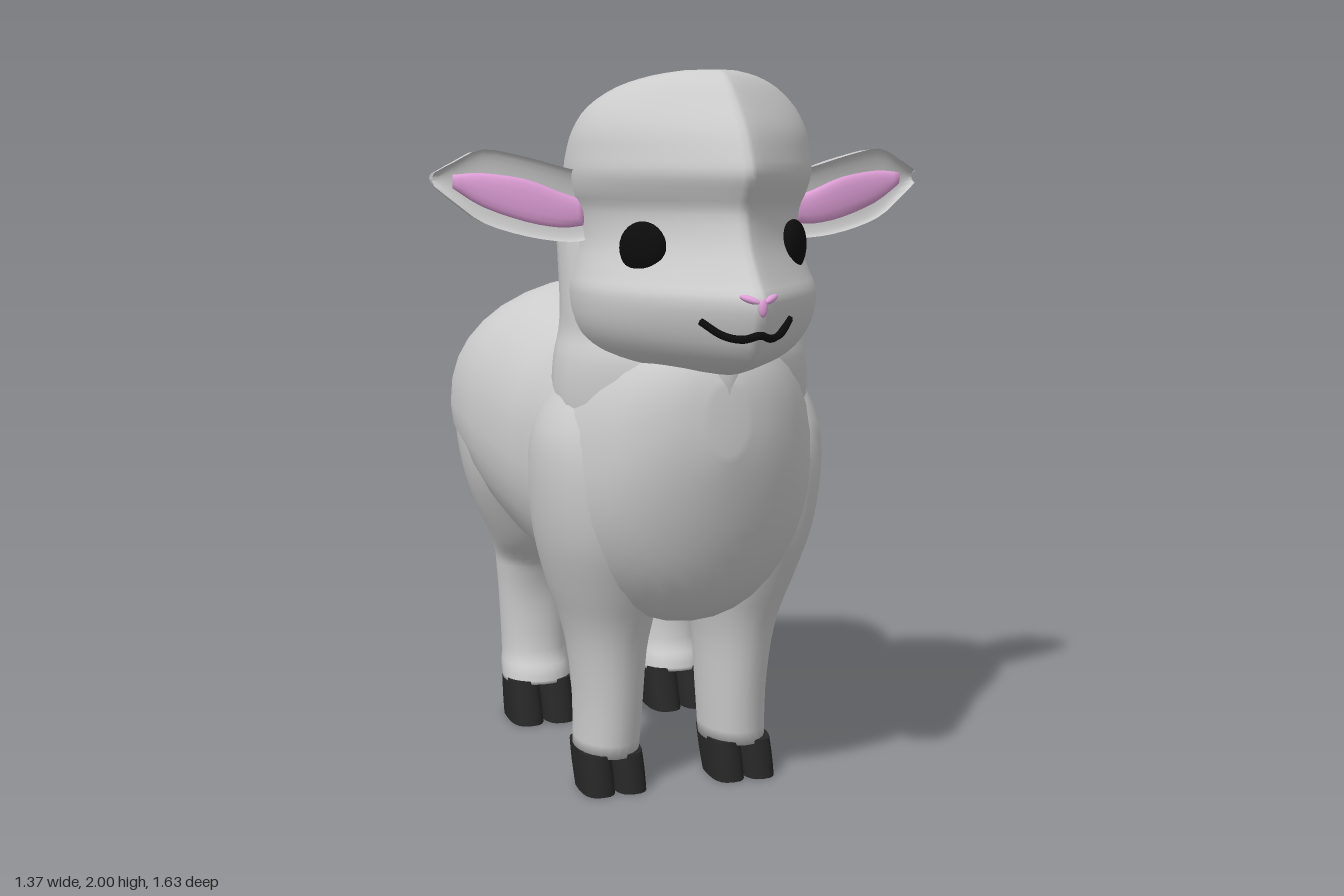
import * as THREE from 'three';
import { toCreasedNormals } from 'three/addons/utils/BufferGeometryUtils.js';

const WOOL = 0xcccccc, HOOF = 0x262626, PINK = 0xe0a0d8, DARK = 0x0c0c0c;
const paint = (color) => new THREE.MeshStandardMaterial({ color, roughness: 0.9 });

// Smooth interpolation of a table of cross-section rows
function resample(rows, steps) {
  const out = [];
  const row = (i) => rows[Math.min(Math.max(i, 0), rows.length - 1)];
  for (let i = 0; i < rows.length - 1; i++) {
    for (let k = 0; k < steps; k++) {
      const t = k / steps;
      out.push(row(i).map((b, c) => {
        const a = row(i - 1)[c], d = row(i + 1)[c], e = row(i + 2)[c];
        return b + 0.5 * t * (d - a + t * (2 * a - 5 * b + 4 * d - e + t * (3 * (b - d) + e - a)));
      }));
    }
  }
  out.push(rows[rows.length - 1]);
  return out;
}

// Ring shapes: row [t, a0, a1, b0, b1] and angle -> [a, b]
const pow = (v, n) => Math.sign(v) * Math.abs(v) ** (2 / n);
const oval = (top, low = top) => ([, a0, a1, b0, b1], t) => {
  const n = Math.sin(t) >= 0 ? top : low;
  return [(a0 + a1) / 2 + (a1 - a0) / 2 * pow(Math.sin(t), n),
    (b0 + b1) / 2 + (b1 - b0) / 2 * pow(Math.cos(t), n)];
};

// Round at the back, tapering to a softly rounded point at the front
function teardrop([, a0, a1, b0, b1], t) {
  const mid = a0 + 0.37 * (a1 - a0), s = Math.sin(t);
  const front = s >= 0, soft = 0.2;
  const d = Math.abs(t - Math.PI / 2) / (Math.PI / 2);
  const reach = 1 - (Math.hypot(d, soft) - soft) / (Math.hypot(1, soft) - soft);
  return [mid + (front ? (a1 - mid) * reach : (mid - a0) * pow(s, 2.4)),
    (b0 + b1) / 2 + (b1 - b0) / 2 * pow(Math.cos(t), front ? 1.38 : 2.4)];
}

// Hollowed front, bulging back
function dish([, a0, a1, b0, b1], t) {
  const s = Math.sin(t);
  return [(a0 + a1) / 2 + (a1 - a0) / 2 * Math.cos(t),
    s < 0 ? b1 - (b1 - b0) * Math.abs(s) ** 0.8 : b1 - 0.022 * s];
}

// Closed skin over rows along an axis; side = -1 mirrors it
function loft(name, axis, rows, { ring = oval(2.3), color = WOOL, side = 1, segs = 28, steps = 3, crease = 0 } = {}) {
  const sections = resample(rows, steps), pos = [], idx = [], n = sections.length;
  const put = (t, a, b) => {
    const p = axis === 'y' ? [b, t, a] : axis === 'z' ? [b, a, t] : [t, a, b];
    pos.push(p[0] * side, p[1], p[2]);
  };
  for (const r of sections) {
    for (let j = 0; j < segs; j++) put(r[0], ...ring(r, j / segs * Math.PI * 2));
  }
  for (const r of [sections[0], sections[n - 1]]) put(r[0], (r[1] + r[2]) / 2, (r[3] + r[4]) / 2);
  for (let j = 0; j < segs; j++) {
    const k = (j + 1) % segs;
    for (let i = 0; i < n - 1; i++) {
      const p = i * segs, q = p + segs;
      idx.push(p + j, q + j, q + k, p + j, q + k, p + k);
    }
    const e = (n - 1) * segs;
    idx.push(n * segs, j, k, n * segs + 1, e + k, e + j);
  }
  // Turn faces outwards by the sign of the enclosed volume
  const v = (i) => new THREE.Vector3().fromArray(pos, i * 3);
  let volume = 0;
  for (let i = 0; i < idx.length; i += 3) volume += v(idx[i]).dot(v(idx[i + 1]).cross(v(idx[i + 2])));
  if (volume < 0) idx.reverse();
  let geo = new THREE.BufferGeometry();
  geo.setAttribute('position', new THREE.Float32BufferAttribute(pos, 3));
  geo.setIndex(idx);
  geo.computeVertexNormals();
  if (crease) geo = toCreasedNormals(geo, crease);
  const mesh = new THREE.Mesh(geo, paint(color));
  mesh.name = name;
  return mesh;
}

const even = (rows) => rows.map(([t, a0, a1, w]) => [t, a0, a1, -w, w]);

export function createModel() {
  const lamb = new THREE.Group();
  lamb.name = 'lamb';

  // Trunk with a wedge-shaped chest, rows [z, bottom, top, half width]
  lamb.add(loft('body', 'z', even([
    [0.58, 1.02, 1.2, 0.05], [0.555, 0.92, 1.27, 0.13], [0.5, 0.76, 1.32, 0.215], [0.42, 0.61, 1.34, 0.285],
    [0.3, 0.51, 1.36, 0.35], [0.15, 0.49, 1.37, 0.405], [0, 0.5, 1.36, 0.425], [-0.15, 0.515, 1.385, 0.45],
    [-0.3, 0.54, 1.415, 0.475], [-0.42, 0.6, 1.42, 0.495], [-0.55, 0.66, 1.385, 0.495], [-0.64, 0.7, 1.31, 0.46],
    [-0.7, 0.76, 1.22, 0.4], [-0.74, 0.83, 1.12, 0.28], [-0.75, 0.9, 1.04, 0.12]]),
  { ring: oval(2.3, 2), segs: 36 }));

  // Broad woolly tail, rows [y, back, front, half width]
  lamb.add(loft('tail', 'y', even([
    [0.785, -0.74, -0.68, 0.1], [0.81, -0.765, -0.64, 0.19], [0.88, -0.8, -0.6, 0.26], [1, -0.81, -0.55, 0.3],
    [1.1, -0.79, -0.5, 0.3], [1.2, -0.735, -0.45, 0.28], [1.3, -0.665, -0.4, 0.23], [1.37, -0.57, -0.4, 0.12]])));

  lamb.add(loft('neck', 'y', even([
    [0.95, 0, 0.53, 0.33], [1.12, -0.02, 0.57, 0.36], [1.24, -0.03, 0.585, 0.355], [1.31, -0.03, 0.56, 0.338],
    [1.38, -0.012, 0.54, 0.335], [1.5, -0.02, 0.5, 0.335], [1.62, -0.027, 0.46, 0.335], [1.72, -0.01, 0.43, 0.325],
    [1.78, 0.05, 0.35, 0.2]]), { ring: teardrop }));

  // Head with muzzle, brow and woolly crown
  lamb.add(loft('head', 'y', even([
    [1.225, 0.1, 0.52, 0.16], [1.24, 0.03, 0.63, 0.23], [1.285, 0, 0.735, 0.285], [1.35, 0, 0.785, 0.32],
    [1.43, -0.01, 0.812, 0.33], [1.48, -0.02, 0.772, 0.32], [1.56, -0.03, 0.712, 0.302], [1.64, -0.03, 0.685, 0.308],
    [1.69, -0.028, 0.705, 0.326], [1.74, -0.02, 0.728, 0.333], [1.79, -0.005, 0.71, 0.328], [1.85, 0.035, 0.675, 0.315],
    [1.91, 0.09, 0.62, 0.28], [1.96, 0.18, 0.57, 0.215], [1.988, 0.29, 0.53, 0.14], [2, 0.38, 0.5, 0.07]]),
  { ring: teardrop, segs: 48 }));

  // Nose: two slanting nostrils and a small centre line
  const nose = new THREE.Group();
  nose.name = 'nose';
  lamb.add(nose);
  const blob = (name, color, r, p, parent) => {
    const m = new THREE.Mesh(new THREE.SphereGeometry(1, 20, 14), paint(color));
    m.name = name;
    m.scale.set(...r);
    m.position.set(...p);
    parent.add(m);
    return m;
  };
  blob('noseCentre', PINK, [0.012, 0.022, 0.008], [0, 1.422, 0.808], nose);

  // Smiling mouth
  const smile = new THREE.CatmullRomCurve3([
    [-0.118, 1.382, 0.688], [-0.075, 1.35, 0.735], [-0.035, 1.343, 0.77], [0, 1.354, 0.79],
    [0.035, 1.343, 0.77], [0.075, 1.35, 0.735], [0.118, 1.382, 0.688]].map((p) => new THREE.Vector3(...p)));
  const mouth = new THREE.Mesh(new THREE.TubeGeometry(smile, 32, 0.01, 6), paint(DARK));
  mouth.name = 'mouth';
  lamb.add(mouth);

  for (const side of [1, -1]) {
    const label = side > 0 ? 'left' : 'right';

    const eye = blob(label + 'Eye', DARK, [0.07, 0.068, 0.03], [0.206 * side, 1.553, 0.497], lamb);
    eye.rotation.y = 0.9 * side;
    const nostril = blob(label + 'Nostril', PINK, [0.028, 0.009, 0.01], [0.027 * side, 1.442, 0.79], nose);
    nostril.rotation.set(0, 0.6 * side, 0.3 * side);

    // Ear, rows [x, bottom, top, back, front]
    lamb.add(loft(label + 'Ear', 'x', [
      [0.27, 1.57, 1.74, 0.14, 0.292], [0.34, 1.56, 1.75, 0.13, 0.288], [0.45, 1.575, 1.78, 0.09, 0.275],
      [0.56, 1.61, 1.8, 0.08, 0.255], [0.63, 1.66, 1.77, 0.11, 0.242], [0.685, 1.705, 1.74, 0.16, 0.228]],
    { ring: dish, side, segs: 24, crease: 0.9 }));
    lamb.add(loft(label + 'InnerEar', 'x', [
      [0.3, 1.6, 1.67, 0.25, 0.286], [0.36, 1.595, 1.69, 0.247, 0.282], [0.45, 1.61, 1.725, 0.235, 0.27],
      [0.56, 1.65, 1.74, 0.215, 0.25], [0.635, 1.7, 1.735, 0.205, 0.235]],
    { color: PINK, side, segs: 16 }));

    // Legs, rows [y, back, front, inner, outer]
    lamb.add(loft(label + 'FrontLeg', 'y', [
      [0.1, -0.035, 0.22, 0.1, 0.285], [0.25, -0.045, 0.235, 0.09, 0.285], [0.4, -0.06, 0.255, 0.08, 0.3],
      [0.5, -0.085, 0.28, 0.06, 0.325], [0.6, -0.11, 0.32, 0.04, 0.36], [0.75, -0.11, 0.37, 0.04, 0.4],
      [0.92, -0.08, 0.38, 0.06, 0.418], [1.06, -0.03, 0.35, 0.1, 0.405], [1.2, 0.04, 0.27, 0.15, 0.34]],
    { ring: oval(2.05), side, segs: 24 }));
    lamb.add(loft(label + 'HindLeg', 'y', [
      [0.12, -0.68, -0.46, 0.12, 0.335], [0.16, -0.7, -0.47, 0.12, 0.335], [0.22, -0.705, -0.5, 0.125, 0.33],
      [0.38, -0.695, -0.505, 0.12, 0.338], [0.48, -0.71, -0.48, 0.11, 0.345], [0.53, -0.715, -0.45, 0.105, 0.35],
      [0.6, -0.68, -0.38, 0.09, 0.378], [0.72, -0.685, -0.31, 0.06, 0.435], [0.85, -0.705, -0.25, 0.05, 0.475],
      [1, -0.705, -0.25, 0.05, 0.49], [1.14, -0.66, -0.33, 0.1, 0.45], [1.26, -0.58, -0.42, 0.2, 0.36]],
    { ring: oval(2.1), side, segs: 24 }));

    // Cloven hooves, two toes each: top and bottom [back, front], inner and outer x
    for (const [part, h, [t0, t1], [s0, s1], x0, x1] of [
      ['FrontHoof', 0.11, [-0.015, 0.217], [0.06, 0.24], 0.1, 0.29],
      ['HindHoof', 0.13, [-0.67, -0.47], [-0.64, -0.42], 0.125, 0.335]]) {
      const mid = (x0 + x1) / 2;
      for (const [toe, a, b] of [['InnerToe', x0, mid + 0.002], ['OuterToe', mid - 0.002, x1]]) {
        lamb.add(loft(label + part + toe, 'y', [
          [0, s0, s1, a, b], [h * 0.5, (s0 + t0) / 2, (s1 + t1) / 2, a, b], [h, t0, t1, a + 0.004, b - 0.004]],
        { ring: oval(2.8), color: HOOF, side, segs: 20, steps: 2, crease: 0.8 }));
      }
    }
  }
  return lamb;
}
